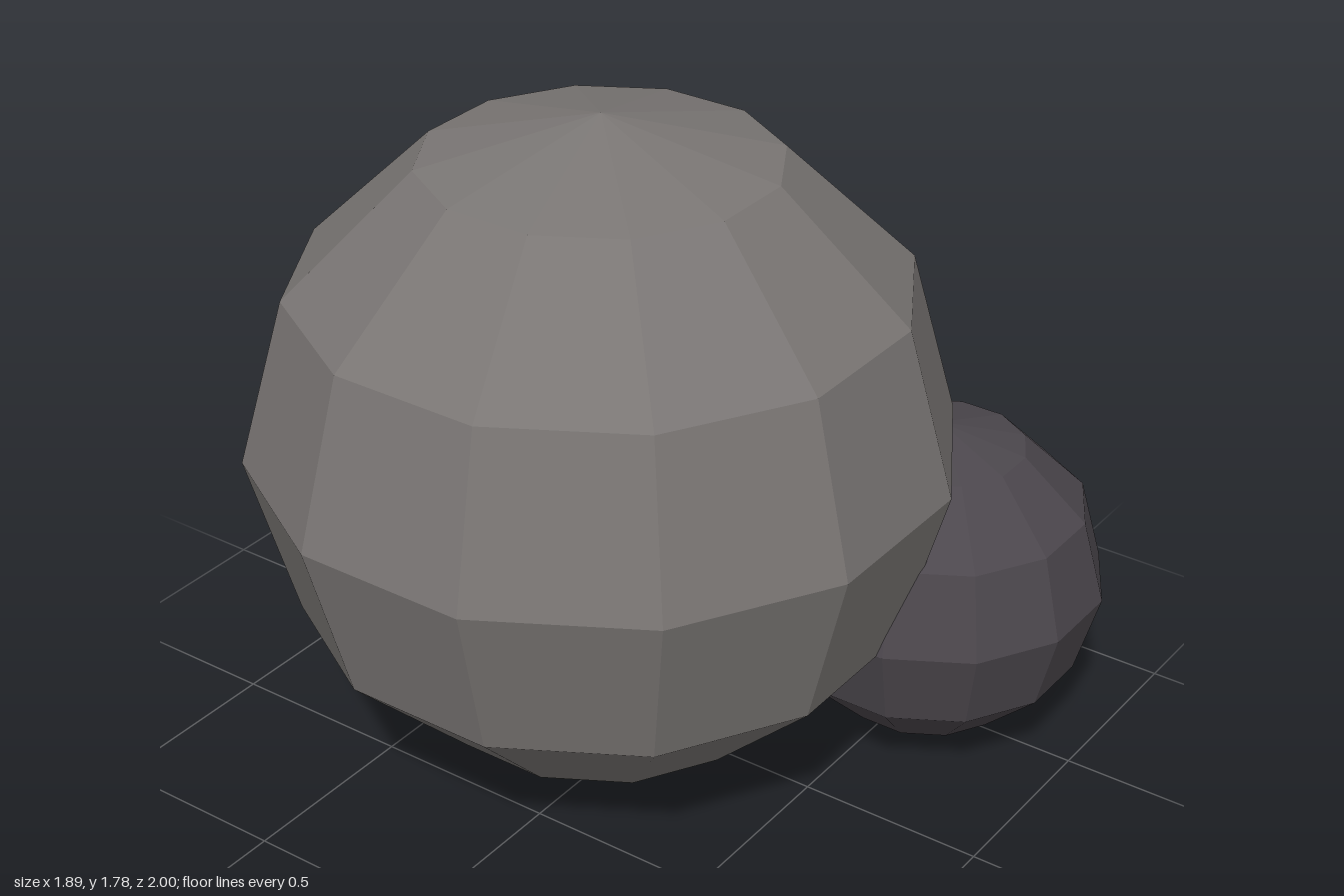
import * as THREE from 'three';

// Faceted boulder: 12 sides, 6 bands, turned so flat sides face the axes
function boulder(name, radius, x, z, material) {
  const geometry = new THREE.SphereGeometry(radius / Math.cos(Math.PI / 12), 12, 6);
  geometry.scale(1, Math.cos(Math.PI / 12), 1);
  geometry.rotateY(Math.PI / 12);
  const mesh = new THREE.Mesh(geometry, material);
  mesh.name = name;
  mesh.position.set(x, radius, z);
  return mesh;
}

export function createModel() {
  const stone = new THREE.MeshStandardMaterial({ color: 0x7a7674, flatShading: true });
  stone.name = 'warm grey stone';
  const darkStone = new THREE.MeshStandardMaterial({ color: 0x4c474d, flatShading: true });
  darkStone.name = 'dark grey stone';

  const group = new THREE.Group();
  group.name = 'rocks';
  group.add(
    boulder('largeRock', 0.888, -0.057, -0.113, stone),
    boulder('smallRock', 0.444, 0.498, 0.555, darkStone),
  );
  return group;
}
